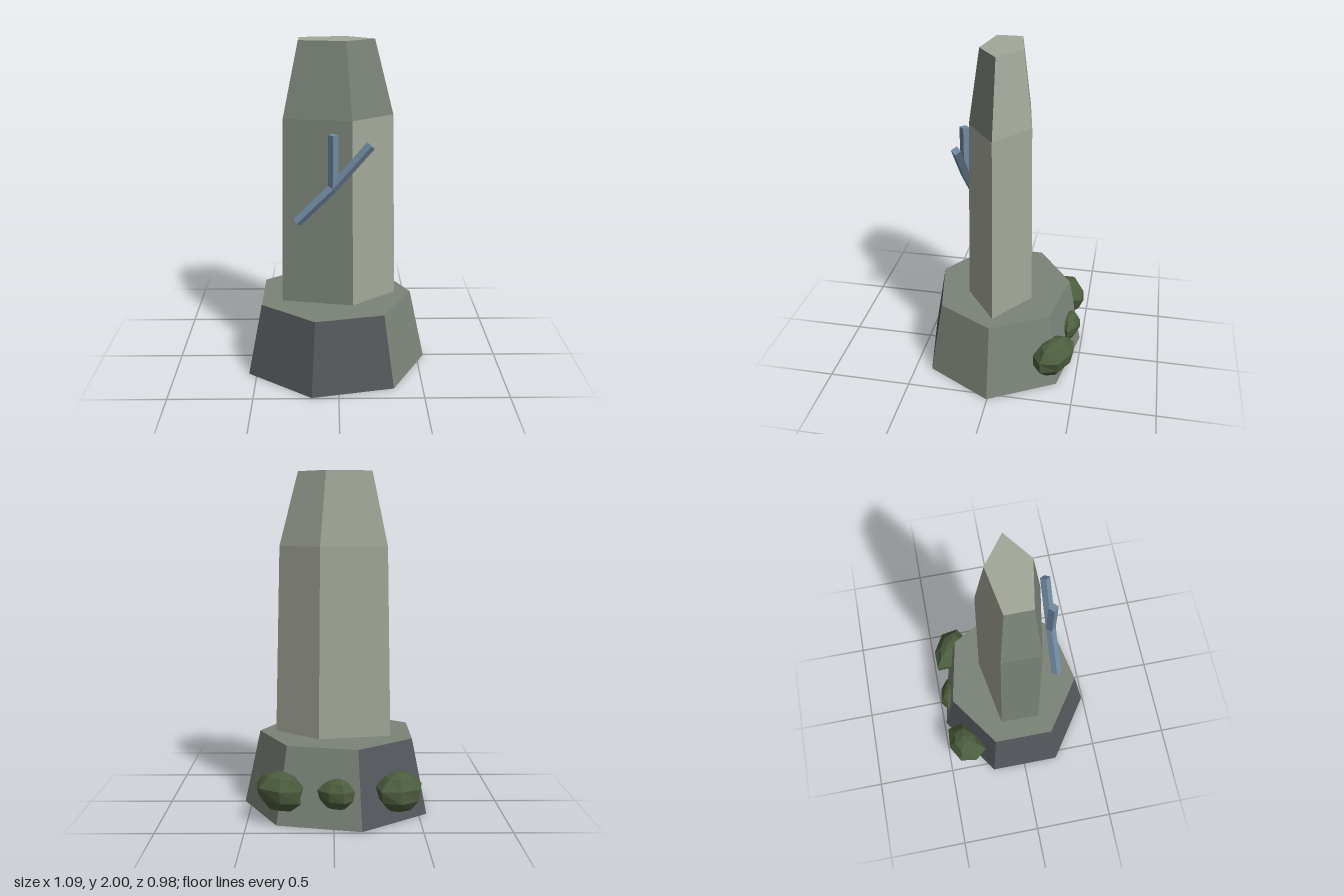
import * as THREE from 'three';

const mat = (name, color) => {
  const m = new THREE.MeshStandardMaterial({ color });
  m.name = name;
  return m;
};

export function createModel() {
  const model = new THREE.Group();
  const stone = mat('greenGreyStone', 0x7b8479);
  const pale = mat('paleStone', 0xa3a799);
  const slate = mat('darkSlate', 0x55595d);
  const moss = mat('mossGreen', 0x4d5d3e);
  const rune = mat('blueGrey', 0x7089a0);
  const stoneMats = [stone, pale, slate];

  const add = (name, geo, material) => {
    const mesh = new THREE.Mesh(geo, material);
    mesh.name = name;
    model.add(mesh);
    return mesh;
  };

  // Faceted block: n-sided rings [y, rx, rz], one colour index per side and layer
  function facetedBlock(n, rings, sideColors, topColor, bottomColor) {
    const pos = [];
    const geo = new THREE.BufferGeometry();
    const point = ([y, rx, rz], k) => {
      const a = (k / n) * Math.PI * 2;
      return [rx * Math.cos(a) - 0.03, y, rz * Math.sin(a) + 0.004];
    };
    const face = (color, ...pts) => {
      geo.addGroup(pos.length / 3, pts.length, color);
      pts.forEach((p) => pos.push(...p));
    };
    for (let i = 0; i < rings.length - 1; i++) {
      for (let k = 0; k < n; k++) {
        const a = point(rings[i], k), b = point(rings[i], k + 1);
        const c = point(rings[i + 1], k), d = point(rings[i + 1], k + 1);
        face(sideColors[i][k], b, a, c, b, c, d);
      }
    }
    const low = rings[0], high = rings[rings.length - 1];
    for (let k = 0; k < n; k++) {
      face(topColor, [-0.03, high[0], 0.004], point(high, k + 1), point(high, k));
      face(bottomColor, [-0.03, low[0], 0.004], point(low, k), point(low, k + 1));
    }
    geo.setAttribute('position', new THREE.Float32BufferAttribute(pos, 3));
    geo.computeVertexNormals();
    return geo;
  }

  // Seven-sided plinth
  add('plinth', facetedBlock(7,
    [[0, 0.575, 0.503], [0.45, 0.477, 0.421]],
    [[0, 2, 2, 2, 2, 0, 0]], 0, 2), stoneMats);

  // Five-sided standing stone with a tapered head
  add('standingStone', facetedBlock(5,
    [[0.44, 0.38, 0.207], [1.57, 0.349, 0.189], [2, 0.237, 0.128]],
    [[1, 0, 0, 1, 1], [0, 0, 0, 1, 1]], 1, 0), stoneMats);

  // Three-armed mark floating before the front face
  const joint = new THREE.Vector3(-0.03, 1.2, 0.237);
  const arms = [['upperArm', -0.03, 1.505], ['rightArm', -0.237, 0.995], ['leftArm', 0.18, 1.445]];
  for (const [name, x, y] of arms) {
    const dir = new THREE.Vector3(x, y, joint.z).sub(joint);
    const geo = new THREE.CylinderGeometry(0.029, 0.029, dir.length(), 4).toNonIndexed();
    geo.computeVertexNormals();
    const arm = add(name, geo, rune);
    arm.position.copy(joint).addScaledVector(dir, 0.5);
    arm.rotation.z = Math.atan2(-dir.x, dir.y);
  }

  // Irregular moss clumps around the back of the plinth
  const profile = [[0, -1], [0.5, -0.95], [0.92, -0.4], [1, 0.25], [0.62, 0.8], [0.22, 1], [0, 1]]
    .map(([r, y]) => new THREE.Vector2(r, y));
  function clump(name, x, y, z, sx, sy, sz, turn, seed) {
    const geo = new THREE.LatheGeometry(profile, 7);
    const p = geo.attributes.position;
    for (let i = 0; i < p.count; i++) {
      const a = Math.atan2(p.getX(i), p.getZ(i));
      const s = 1 + 0.08 * Math.sin(3 * a + seed) + 0.05 * Math.sin(2 * a + 4 * p.getY(i) + seed);
      p.setX(i, p.getX(i) * s);
      p.setZ(i, p.getZ(i) * s);
    }
    const flat = geo.toNonIndexed();
    flat.computeVertexNormals();
    const mesh = add(name, flat, moss);
    mesh.position.set(x, y, z);
    mesh.scale.set(sx, sy, sz);
    mesh.rotation.y = turn;
  }
  clump('mossLeft', 0.305, 0.2, -0.365, 0.16, 0.108, 0.105, -0.6, 1);
  clump('mossMiddle', -0.02, 0.2, -0.425, 0.105, 0.085, 0.065, -0.15, 2.5);
  clump('mossRight', -0.375, 0.2, -0.375, 0.145, 0.11, 0.11, 0.55, 4);

  return model;
}
